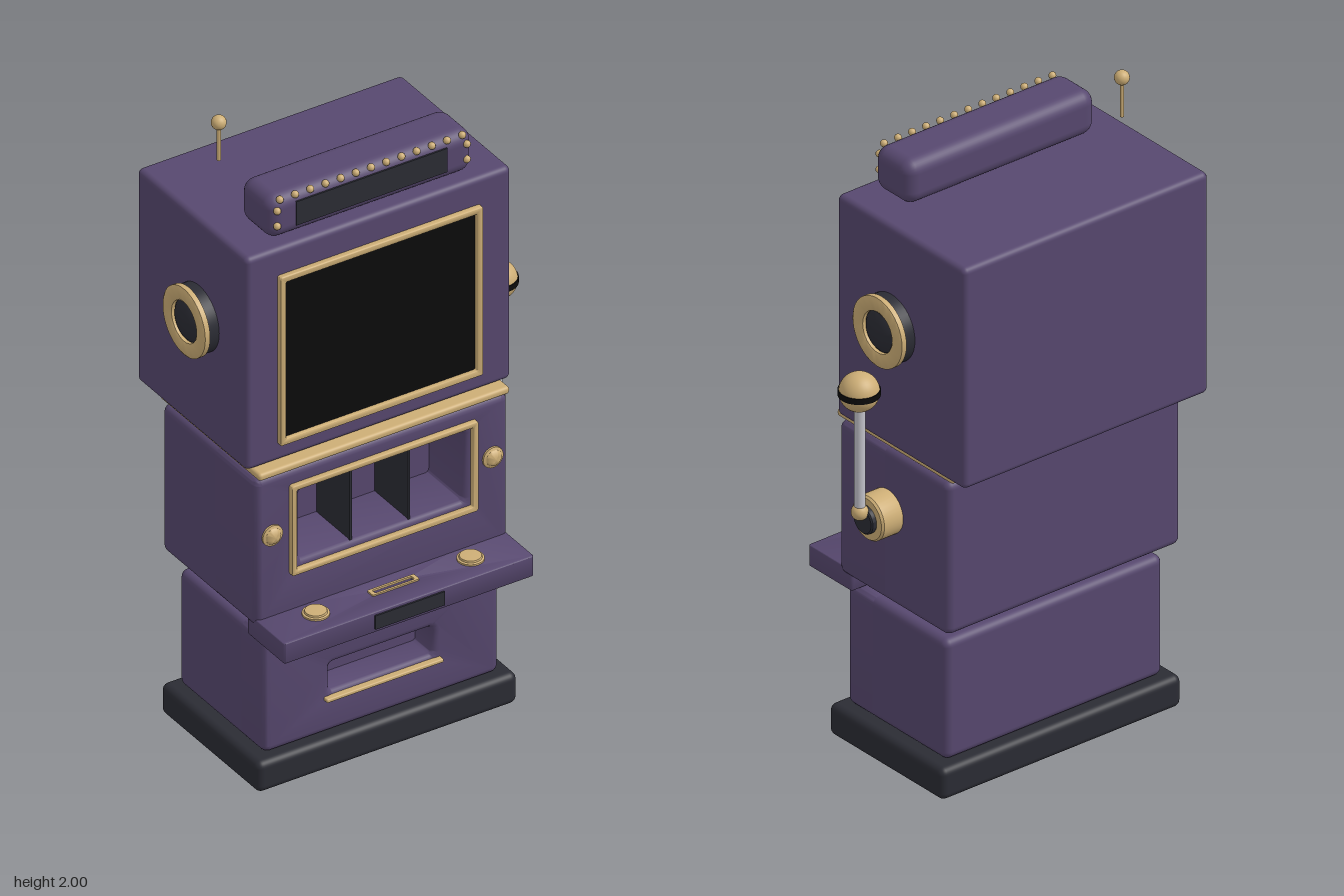
import * as THREE from 'three';
import { toCreasedNormals } from 'three/addons/utils/BufferGeometryUtils.js';
import { RoundedBoxGeometry } from 'three/addons/geometries/RoundedBoxGeometry.js';

const material = (name, color) => Object.assign(new THREE.MeshStandardMaterial({ color }), { name });
const purple = material('purple', 0x57486f);
const gold = material('gold', 0xcdae76);
const dark = material('charcoal', 0x2b2c34);
const black = material('black', 0x0b0b0b);
const silver = material('silver', 0xc4c4cc);

const CX = -0.043; // cabinet centre line

export function createModel() {
  const model = new THREE.Group();
  model.name = 'slotMachine';

  const add = (name, geo, mat, x = 0, y = 0, z = 0, parent = model) => {
    const mesh = new THREE.Mesh(geo, mat);
    mesh.name = name;
    mesh.position.set(x, y, z);
    parent.add(mesh);
    return mesh;
  };

  // Box given by its bounds, with rounded edges when r > 0
  const block = (name, mat, [x0, x1], [y0, y1], [z0, z1], r = 0) => {
    const s = [x1 - x0, y1 - y0, z1 - z0];
    const geo = r ? new RoundedBoxGeometry(...s, 4, r) : new THREE.BoxGeometry(...s);
    return add(name, geo, mat, (x0 + x1) / 2, (y0 + y1) / 2, (z0 + z1) / 2);
  };

  // Rounded rectangle outline
  const rect = (Type, [x0, x1], [y0, y1], r) => {
    const s = new Type();
    s.absarc(x1 - r, y1 - r, r, 0, Math.PI / 2);
    s.absarc(x0 + r, y1 - r, r, Math.PI / 2, Math.PI);
    s.absarc(x0 + r, y0 + r, r, Math.PI, Math.PI * 1.5);
    s.absarc(x1 - r, y0 + r, r, Math.PI * 1.5, Math.PI * 2);
    s.closePath();
    return s;
  };

  // Rectangular plate with a rectangular opening, extruded along z
  const pierced = (xs, ys, r, hx, hy, hr, depth, bevel, bevelThickness = bevel) => {
    const shape = rect(THREE.Shape, xs, ys, r);
    shape.holes.push(rect(THREE.Path, hx, hy, hr));
    return toCreasedNormals(new THREE.ExtrudeGeometry(shape, {
      depth, bevelEnabled: bevel > 0, bevelSize: bevel, bevelOffset: -bevel,
      bevelThickness, bevelSegments: 4, curveSegments: 6,
    }), 0.6);
  };

  // Cabinet section with a recess in its front
  const recessed = (name, xs, ys, [z0, z1], r, hx, hy, depth) => {
    const floor = z1 - depth;
    block(name + 'Back', purple, xs, ys, [z0, floor], r);
    add(name + 'Front', pierced(xs, ys, r, hx, hy, 0.012, depth, r * 0.9, r), purple, 0, 0, floor - r);
  };

  const frame = (name, [x0, x1], [y0, y1], w, z0, z1) => add(name,
    pierced([x0, x1], [y0, y1], 0.008, [x0 + w, x1 - w], [y0 + w, y1 - w], 0.004, z1 - z0 - 0.008, 0.004),
    gold, 0, 0, z0 + 0.004);

  // Lathe whose axis points along +x (dir 1) or -x (dir -1); profile is [radius, height]
  const lathe = (points) => toCreasedNormals(
    new THREE.LatheGeometry(points.map(([r, h]) => new THREE.Vector2(r, h)), 40), 0.6);
  const sideLathe = (name, points, mat, x, y, z, dir = 1) => {
    add(name, lathe(points), mat, x, y, z).rotation.z = -dir * Math.PI / 2;
  };

  // Plinth and lower cabinet with payout tray
  block('plinth', dark, [-0.473, 0.383], [0, 0.1], [-0.25, 0.25], 0.022);
  recessed('lowerCabinet', [-0.433, 0.343], [0.1, 0.48], [-0.217, 0.217], 0.024,
    [-0.213, 0.123], [0.235, 0.322], 0.09);
  block('trayLip', gold, [-0.236, 0.148], [0.21, 0.222], [0.18, 0.235], 0.004);

  // Button shelf with a coin slot passing through it
  const shelf = pierced([-0.455, 0.367], [-0.355, -0.165], 0.008, [-0.108, 0.022], [-0.28, -0.264], 0.005, 0.059, 0.004);
  add('shelf', shelf, purple, 0, 0.487, 0).rotation.x = -Math.PI / 2;
  const slotRim = pierced([-0.12, 0.034], [-0.287, -0.257], 0.005, [-0.108, 0.022], [-0.28, -0.264], 0.005, 0.006, 0);
  add('coinSlotRim', slotRim, gold, 0, 0.549, 0).rotation.x = -Math.PI / 2;
  block('shelfPanel', dark, [-0.158, 0.07], [0.495, 0.54], [0.352, 0.36]);
  for (const x of [-0.298, 0.211]) {
    add('shelfButton', lathe([[0.039, 0], [0.039, 0.006], [0.033, 0.008], [0.031, 0.013], [0, 0.015]]),
      gold, x, 0.549, 0.272);
  }

  // Middle cabinet with reel window
  recessed('reelCabinet', [-0.46, 0.373], [0.525, 1.01], [-0.262, 0.217], 0.024,
    [-0.312, 0.226], [0.703, 0.927], 0.18);
  frame('reelFrame', [-0.35, 0.264], [0.667, 0.963], 0.017, 0.212, 0.233);
  for (const x of [-0.14, 0.052]) {
    block('reelDivider', dark, [x - 0.004, x + 0.004], [0.69, 0.94], [0.03, 0.205]);
  }
  for (const x of [-0.407, 0.318]) {
    add('frontKnob', lathe([[0.033, 0], [0.033, 0.008], [0.025, 0.011], [0.022, 0.016], [0.012, 0.022], [0, 0.024]]),
      gold, x, 0.818, 0.215).rotation.x = Math.PI / 2;
  }
  block('waistTrim', gold, [-0.456, 0.369], [1.014, 1.038], [-0.276, 0.23], 0.01);

  // Upper cabinet and screen
  block('upperCabinet', purple, [-0.48, 0.393], [1.04, 1.74], [-0.358, 0.2], 0.018);
  block('screen', black, [-0.37, 0.28], [1.105, 1.645], [0.196, 0.204]);
  frame('screenFrame', [-0.378, 0.29], [1.097, 1.653], 0.02, 0.196, 0.217);

  // Side speakers
  for (const dir of [-1, 1]) {
    const x = CX + dir * 0.43;
    sideLathe('speakerBody', [[0.103, 0], [0.103, 0.045], [0, 0.045]], dark, x, 1.423, -0.04, dir);
    sideLathe('speakerRing', [[0.064, 0.04], [0.108, 0.04], [0.108, 0.056], [0.102, 0.06], [0.07, 0.06], [0.064, 0.056], [0.064, 0.04]],
      gold, x, 1.423, -0.04, dir);
    sideLathe('speakerCone', [[0.064, 0.044], [0.055, 0.052], [0.03, 0.059], [0, 0.062]], dark, x, 1.423, -0.04, dir);
  }

  // Pull lever
  sideLathe('leverHub', [[0.066, 0], [0.068, 0.005], [0.068, 0.07], [0.063, 0.077], [0, 0.077]], gold, 0.37, 0.815, 0);
  sideLathe('leverHubCap', [[0.042, 0], [0.042, 0.014], [0.038, 0.018], [0, 0.018]], dark, 0.446, 0.815, 0);
  add('leverJoint', new THREE.SphereGeometry(0.025, 24, 16), gold, 0.473, 0.847, 0);
  add('leverRod', new THREE.CylinderGeometry(0.016, 0.016, 0.34, 24), silver, 0.473, 1.02, 0);
  add('leverBall', new THREE.SphereGeometry(0.058, 32, 24), gold, 0.475, 1.229, 0);
  add('leverBallBand', new THREE.CylinderGeometry(0.06, 0.06, 0.018, 32), black, 0.475, 1.229, 0);

  // Top sign with bulbs
  block('topSign', purple, [-0.38, 0.295], [1.738, 1.876], [0.006, 0.164], 0.04);
  block('signPanel', dark, [-0.293, 0.204], [1.77, 1.848], [0.159, 0.167]);
  const bulb = new THREE.SphereGeometry(0.011, 14, 10);
  for (let i = -6; i <= 6; i++) add('signBulb', bulb, gold, CX + i * 0.05, 1.869, 0.159);
  for (const dx of [-0.312, 0.312]) {
    for (const y of [1.838, 1.788]) add('signSideBulb', bulb, gold, CX + dx, y, 0.164);
  }

  // Antenna
  add('antennaRod', new THREE.CylinderGeometry(0.006, 0.006, 0.125, 12), gold, -0.363, 1.917, -0.12);
  add('antennaTip', new THREE.SphereGeometry(0.022, 20, 14), gold, -0.363, 1.978, -0.12);

  return model;
}
